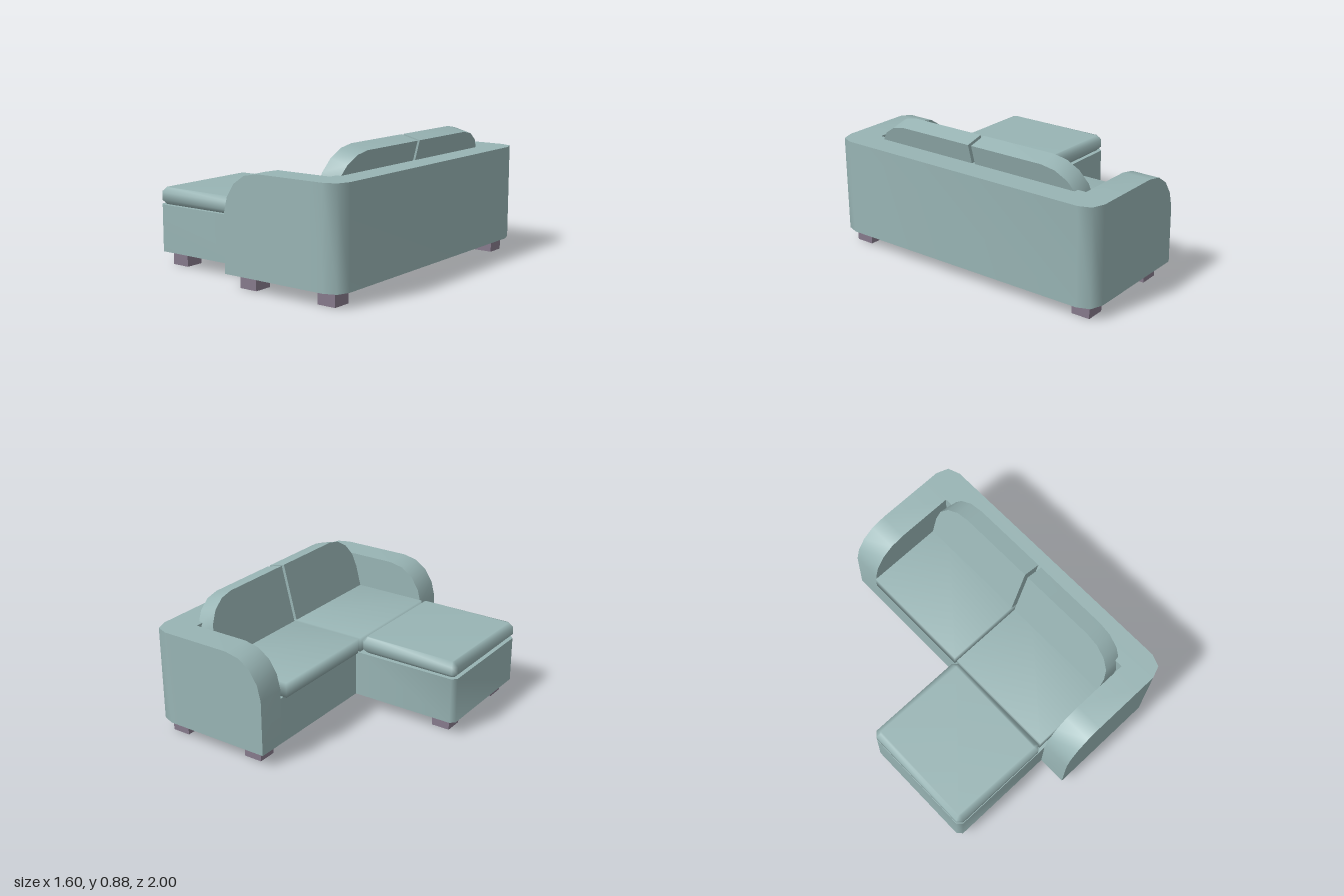
import * as THREE from 'three';
import { mergeVertices, toCreasedNormals } from 'three/addons/utils/BufferGeometryUtils.js';

const fabric = new THREE.MeshStandardMaterial({ color: 0x98b4b4 });
fabric.name = 'sage fabric';
const wood = new THREE.MeshStandardMaterial({ color: 0x867a8c });
wood.name = 'mauve wood';

const FLOOR = 0.09, SEAT = 0.4, TOP = 0.72;

function extrude(points, depth, options = {}) {
  const shape = new THREE.Shape(points.map(([x, y]) => new THREE.Vector2(x, y)));
  return new THREE.ExtrudeGeometry(shape, { depth, bevelEnabled: false, ...options });
}

// Plan outline (x, z) raised between two heights
function slab(points, y0, y1) {
  const geo = extrude(points, y1 - y0);
  geo.rotateX(Math.PI / 2);
  geo.translate(0, y1, 0);
  return toCreasedNormals(geo, 0.95);
}

// Box given by its limits
function box(x0, x1, y0, y1, z0, z1) {
  const geo = new THREE.BoxGeometry(x1 - x0, y1 - y0, z1 - z0);
  geo.translate((x0 + x1) / 2, (y0 + y1) / 2, (z0 + z1) / 2);
  return geo;
}

// Soft shading over every edge
function soften(geo) {
  geo.deleteAttribute('uv');
  geo.deleteAttribute('normal');
  const merged = mergeVertices(geo, 1e-4);
  merged.computeVertexNormals();
  return merged;
}

export function createModel() {
  const sofa = new THREE.Group();
  sofa.name = 'cornerSofa';
  const add = (name, geo, mat = fabric) => {
    const mesh = new THREE.Mesh(geo, mat);
    mesh.name = name;
    sofa.add(mesh);
  };

  // Backrest wall with rounded rear corners
  add('backrest', slab([
    [0.6, -1], [0.69, -1], [0.77, -0.97], [0.8, -0.89],
    [0.8, 0.89], [0.77, 0.97], [0.69, 1], [0.6, 1],
  ], FLOOR, TOP));

  // Arms with a curved front top
  const armProfile = [
    [-0.05, FLOOR], [0.6, FLOOR], [0.6, TOP], [0.21, TOP],
    [0.11, 0.7], [0.03, 0.645], [-0.025, 0.56], [-0.05, 0.46],
  ];
  for (const z of [-1, 0.81]) {
    const arm = extrude(armProfile, 0.19);
    arm.translate(0, 0, z);
    add('arm', toCreasedNormals(arm, 0.6));
  }

  // Seat base and chaise base
  add('seatBase', box(-0.05, 0.6, FLOOR, SEAT, -0.81, 0.81));
  add('chaiseBase', slab([
    [-0.05, 0], [-0.05, 0.805], [-0.77, 0.805], [-0.8, 0.775], [-0.8, 0.03], [-0.77, 0],
  ], FLOOR, SEAT));

  // Chaise cushion with chamfered edges
  const c = 0.03;
  const chaise = extrude([
    [-0.8 + c, 0], [-0.08 - c, 0], [-0.08, c], [-0.08, 0.805 - c],
    [-0.08 - c, 0.805], [-0.8 + c, 0.805], [-0.8, 0.805 - c], [-0.8, c],
  ], 0.05, {
    bevelEnabled: true, bevelSegments: 1, bevelSize: c, bevelThickness: c, bevelOffset: -c,
  });
  chaise.rotateX(Math.PI / 2);
  chaise.translate(0, 0.48, 0);
  add('chaiseCushion', soften(chaise));

  // Seat cushions and leaning back cushions
  const inner = 0.012, outer = 0.783, height = 0.4, r = 0.245;
  for (const side of [-1, 1]) {
    const [z0, z1] = side > 0 ? [inner, outer] : [-outer, -inner];
    add('seatCushion', soften(box(-0.073, 0.6, SEAT, 0.5, z0, z1)));

    const outline = [[side * inner, 0], [side * outer, 0]];
    for (let i = 0; i <= 4; i++) {
      const a = (i / 4) * Math.PI / 2;
      outline.push([side * (outer - r + r * Math.cos(a)), height - r + r * Math.sin(a)]);
    }
    outline.push([side * inner, height]);
    const back = extrude(outline, 0.125);
    back.rotateY(-Math.PI / 2);
    back.translate(0.125, 0, 0);
    back.rotateZ(-0.25);
    back.translate(0.445, 0.49, 0);
    add('backCushion', toCreasedNormals(back, 0.6));
  }

  // Square feet
  const feet = [
    [0.67, -0.875], [0.67, 0.875], [0.08, -0.875], [0.08, 0.875], [-0.67, 0.69], [-0.67, 0.125],
  ];
  for (const [x, z] of feet) {
    add('foot', box(x - 0.0625, x + 0.0625, 0, FLOOR, z - 0.0625, z + 0.0625), wood);
  }
  return sofa;
}
